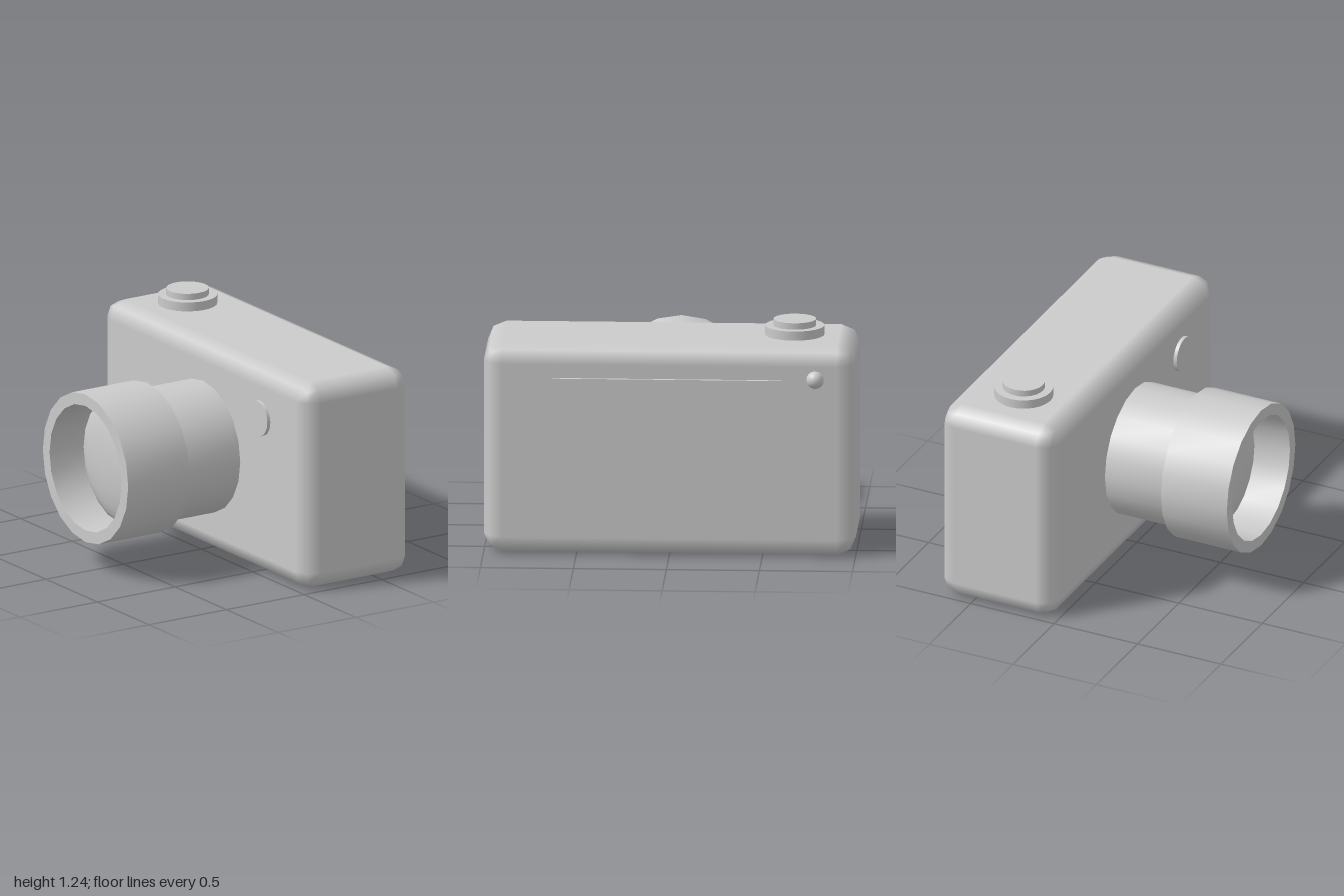
import * as THREE from 'three';
import { RoundedBoxGeometry } from 'three/addons/geometries/RoundedBoxGeometry.js';
import { toCreasedNormals } from 'three/addons/utils/BufferGeometryUtils.js';

const material = new THREE.MeshStandardMaterial({ color: 0xcccccc });

export function createModel() {
  const camera = new THREE.Group();
  camera.name = 'compactCamera';

  function add(name, geometry, x, y, z) {
    const mesh = new THREE.Mesh(geometry, material);
    mesh.name = name;
    mesh.position.set(x, y, z);
    camera.add(mesh);
    return mesh;
  }

  // Profile of [radius, distance] pairs turned about the lens axis, towards -x
  function turned(points, sides) {
    const profile = points.map(([r, d]) => new THREE.Vector2(r, d));
    const lathe = new THREE.LatheGeometry(profile, sides);
    return toCreasedNormals(lathe, 0.6).rotateZ(Math.PI / 2);
  }

  // Body with softly bevelled edges
  add('body', new RoundedBoxGeometry(0.69, 1.155, 2, 1, 0.1), 0.355, 0.5775, 0);

  // Lens: narrow barrel, wider hollow front ring, domed glass inside
  const lensY = 0.58;
  add('lensBarrel', turned([[0.365, -0.05], [0.365, 0.36]], 20), 0, lensY, 0);
  add('lensRing', turned([
    [0.34, 0.35], [0.415, 0.35], [0.415, 0.745], [0.35, 0.745], [0.35, 0.5],
  ], 20), 0, lensY, 0);

  const glass = [];
  for (let i = 0; i <= 6; i++) {
    const a = (i / 6) * Math.PI / 2;
    glass.push([0.35 * Math.cos(a), 0.51 + 0.09 * Math.sin(a)]);
  }
  add('lensGlass', turned(glass, 20), 0, lensY, 0);

  // Round flash window on the lens side
  add('flash', turned([[0, -0.03], [0.097, -0.03], [0.097, 0.01], [0, 0.01]], 24), 0, 0.878, 0.56);

  // Shutter button on its collar
  add('shutterCollar', new THREE.CylinderGeometry(0.16, 0.16, 0.075, 24), 0.35, 1.1675, -0.66);
  add('shutterButton', new THREE.CylinderGeometry(0.115, 0.115, 0.06, 24), 0.35, 1.21, -0.66);

  // Rear screen and small round button
  add('screen', new THREE.BoxGeometry(0.04, 0.795, 1.23), 0.697, 0.5825, 0.01);
  add('rearButton', new THREE.SphereGeometry(0.048, 20, 14), 0.694, 0.983, -0.785);

  return camera;
}
